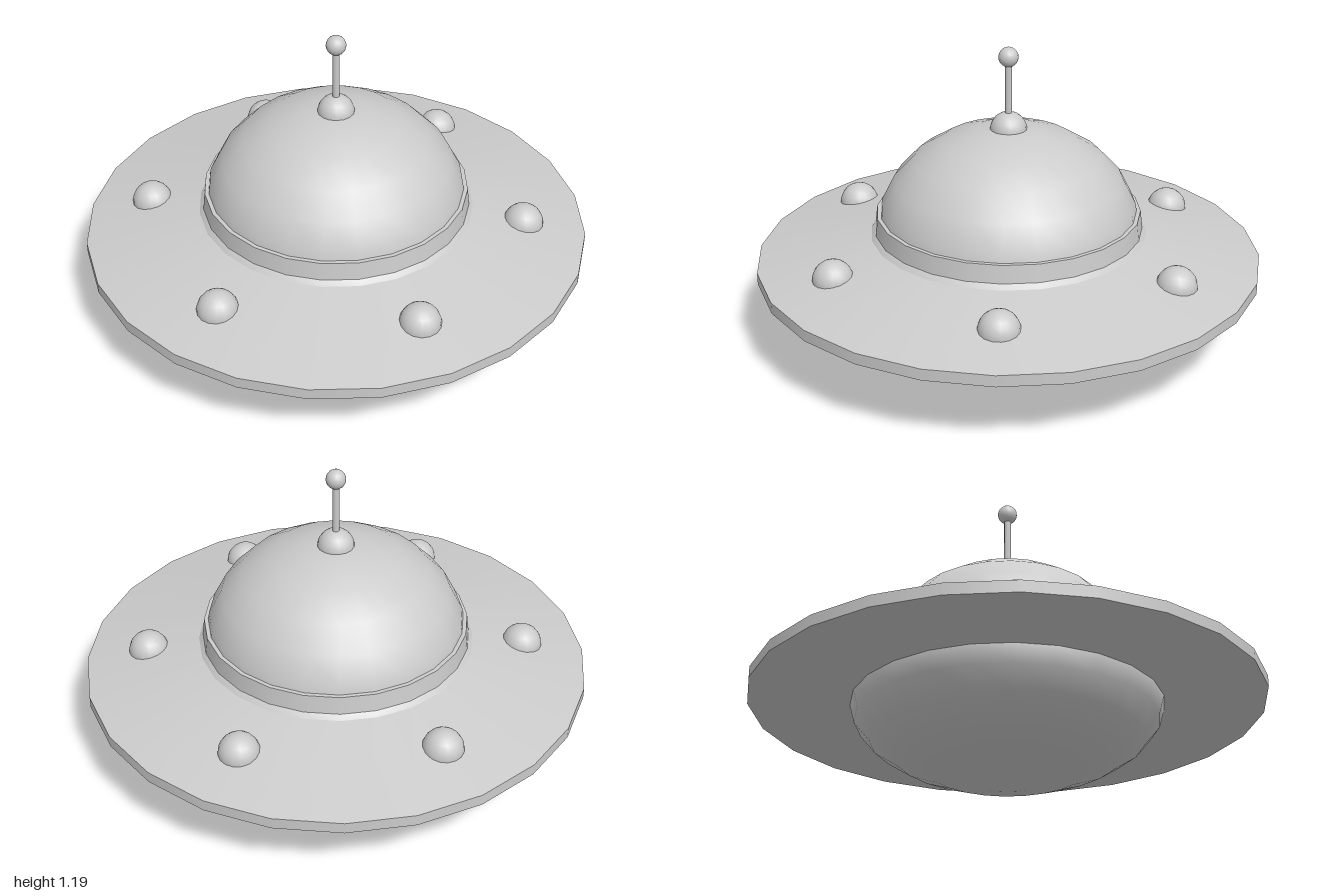
import * as THREE from 'three';

const material = new THREE.MeshStandardMaterial({ color: 0xcccccc });

export function createModel() {
  const model = new THREE.Group();

  function add(name, geometry, x, y, z, scaleY = 1) {
    const mesh = new THREE.Mesh(geometry, material);
    mesh.name = name;
    mesh.position.set(x, y, z);
    mesh.scale.y = scaleY;
    model.add(mesh);
  }

  // A cylinder or cone frustum standing between two heights
  function drum(name, rTop, rBottom, y0, y1, sides = 24) {
    add(name, new THREE.CylinderGeometry(rTop, rBottom, y1 - y0, sides), 0, (y0 + y1) / 2, 0);
  }

  // Saucer: thin rim with a shallow cone on top
  drum('saucerRim', 1, 1, 0.3, 0.345);
  drum('saucerTop', 0.53, 1, 0.345, 0.443);

  // Flattened hull bulging below the saucer
  add('lowerHull', new THREE.SphereGeometry(0.61, 24, 12), 0, 0.31, 0, 0.305 / 0.61);

  // Collar and cabin dome
  drum('domeCollar', 0.523, 0.535, 0.43, 0.53);
  add('dome', new THREE.SphereGeometry(0.52, 24, 12), 0, 0.45, 0, 0.425 / 0.52);

  // Antenna
  add('antennaBase', new THREE.SphereGeometry(0.073, 16, 12), 0, 0.862, 0);
  drum('antennaRod', 0.014, 0.014, 0.87, 1.15, 8);
  add('antennaBall', new THREE.SphereGeometry(0.039, 16, 12), 0, 1.157, 0);

  // Six lights around the saucer
  for (let i = 0; i < 6; i++) {
    const a = (i * Math.PI) / 3;
    add('light' + (i + 1), new THREE.SphereGeometry(0.08, 16, 12), Math.sin(a) * 0.75, 0.385, Math.cos(a) * 0.75);
  }

  return model;
}
